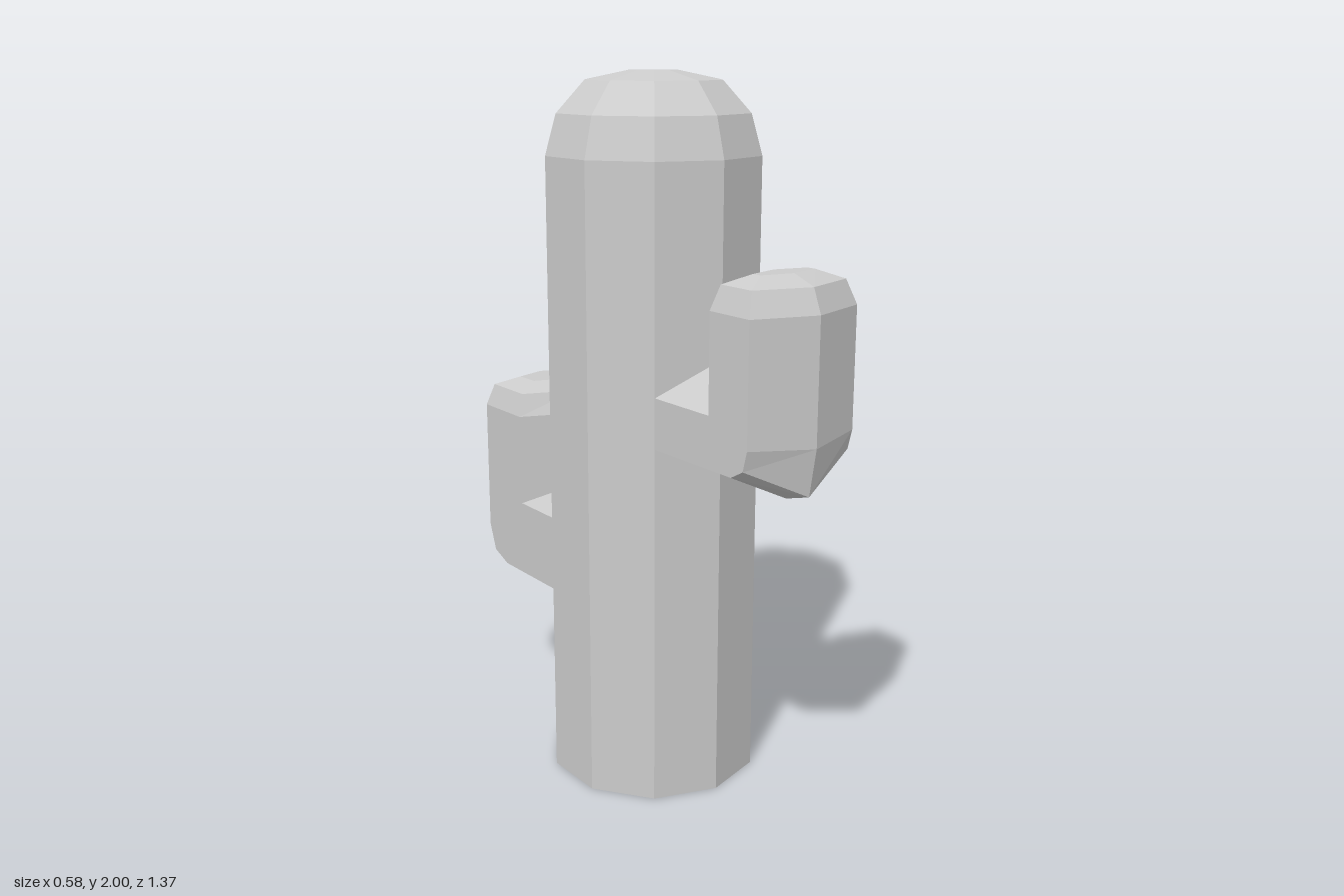
import * as THREE from 'three';

const material = new THREE.MeshStandardMaterial({ color: 0xcccccc, flatShading: true });

// Each section is [half width, outer ridge, outer side, inner side, inner ridge],
// with every point given as [z, y]; the six-sided ring is mirrored in x.
function buildArm(name, sections) {
  const rings = sections.map(([w, outer, sideOut, sideIn, inner]) =>
    [[0, outer], [w, sideOut], [w, sideIn], [0, inner], [-w, sideIn], [-w, sideOut]]
      .map(([x, [z, y]]) => new THREE.Vector3(x, y, z)));
  const positions = [];
  const triangle = (a, b, c) => {
    if (a.equals(b) || b.equals(c) || c.equals(a)) return;
    for (const p of [a, b, c]) positions.push(p.x, p.y, p.z);
  };
  for (let i = 0; i < rings.length - 1; i++) {
    for (let j = 0; j < 6; j++) {
      const k = (j + 1) % 6;
      triangle(rings[i][j], rings[i][k], rings[i + 1][k]);
      triangle(rings[i][j], rings[i + 1][k], rings[i + 1][j]);
    }
  }
  // Flat cap on the tip
  const tip = rings[rings.length - 1];
  for (let j = 1; j < 5; j++) triangle(tip[0], tip[j], tip[j + 1]);

  const geometry = new THREE.BufferGeometry();
  geometry.setAttribute('position', new THREE.Float32BufferAttribute(positions, 3));
  geometry.computeVertexNormals();
  const mesh = new THREE.Mesh(geometry, material);
  mesh.name = name;
  return mesh;
}

// A level ring across the upright part of an arm
const level = (w, y, ...zs) => [w, ...zs.map((z) => [z, y])];

export function createModel() {
  const model = new THREE.Group();
  model.name = 'cactus';

  // Ten-sided trunk with a rounded crown
  const profile = [[0, 0], [0.303, 0], [0.303, 1.78], [0.272, 1.89], [0.193, 1.975], [0.07, 2], [0, 2]]
    .map(([r, y]) => new THREE.Vector2(r, y));
  const trunk = new THREE.Mesh(new THREE.LatheGeometry(profile, 10), material);
  trunk.name = 'trunk';
  trunk.position.z = 0.011;
  model.add(trunk);

  // Front arm: root, elbow, upright, rounded tip
  const frontCorner = [[0.48, 1.17], [0.418, 1.26]];
  model.add(buildArm('frontArm', [
    [0.177, [0.2, 0.945], [0.2, 1.03], [0.2, 1.17], [0.2, 1.26]],
    [0.177, [0.58, 0.945], [0.57, 1.03], ...frontCorner],
    [0.177, [0.665, 0.97], [0.615, 1.055], ...frontCorner],
    [0.177, [0.687, 1.1], [0.63, 1.11], ...frontCorner],
    level(0.177, 1.435, 0.687, 0.63, 0.48, 0.418),
    level(0.155, 1.5, 0.66, 0.61, 0.495, 0.442),
    level(0.09, 1.525, 0.588, 0.567, 0.538, 0.513),
  ]));

  // Back arm: lower and thicker, turned to face backwards
  const backCorner = [[0.43, 0.7], [0.363, 0.752]];
  const backArm = buildArm('backArm', [
    [0.177, [0.2, 0.402], [0.2, 0.473], [0.2, 0.7], [0.2, 0.752]],
    [0.177, [0.58, 0.402], [0.53, 0.473], ...backCorner],
    [0.177, [0.658, 0.432], [0.6, 0.5], ...backCorner],
    [0.177, [0.687, 0.59], [0.63, 0.58], ...backCorner],
    level(0.177, 0.975, 0.687, 0.63, 0.432, 0.363),
    level(0.155, 1.04, 0.66, 0.615, 0.45, 0.395),
    level(0.09, 1.065, 0.594, 0.565, 0.488, 0.46),
  ]);
  backArm.rotation.y = Math.PI;
  model.add(backArm);

  return model;
}
